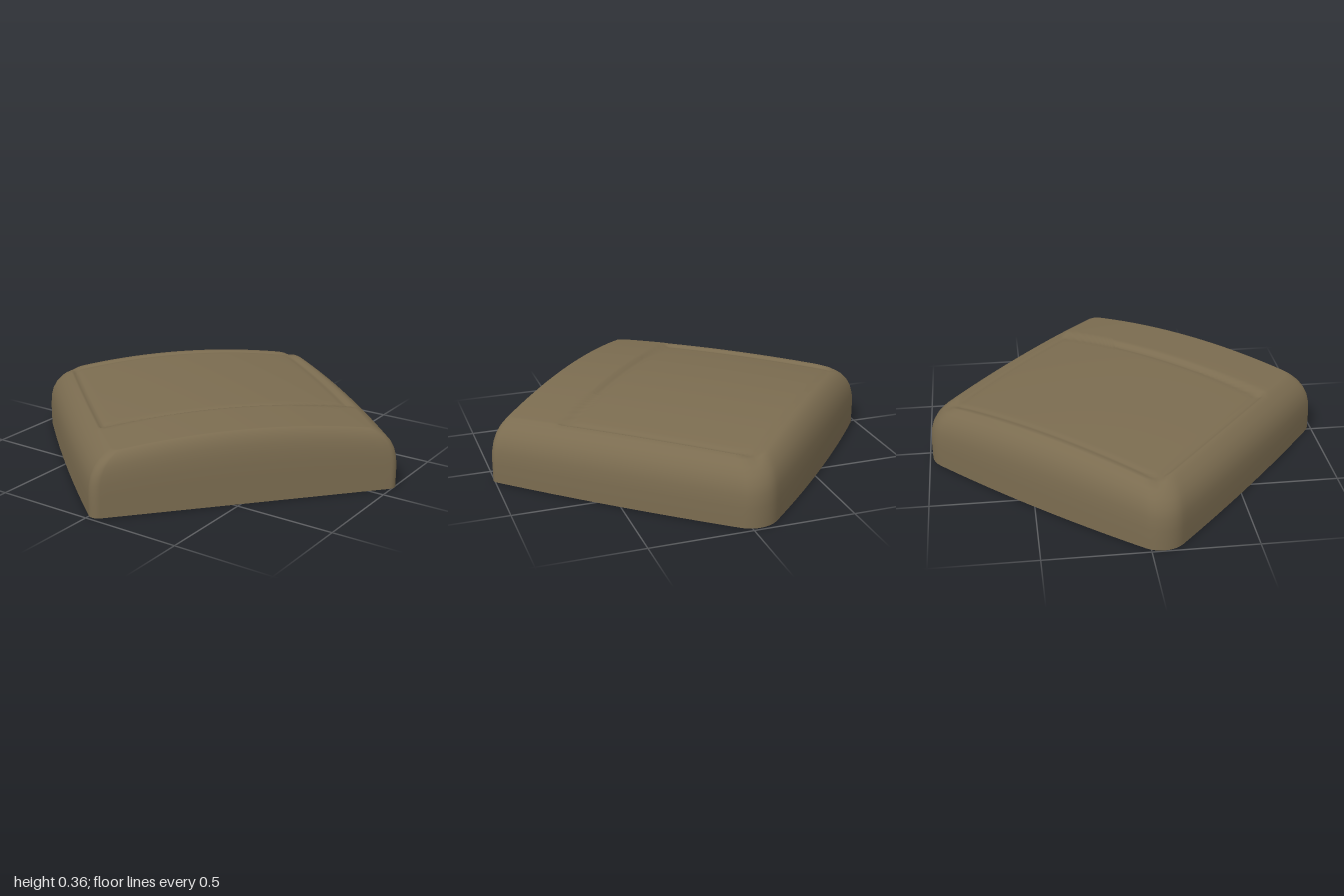
import * as THREE from 'three';

// Plan corners [x, z] of the slab, addressed by a (left-front to back-right) and b (rear-left to front-right)
const L = [-1.04, 0.07], F = [0.03, 1.0], B = [-0.045, -1.03], R = [1.02, -0.11];

function plan(a, b) {
  const a2 = a * (1 + 0.025 * (1 - b * b));
  const b2 = b < 0 ? b * (1 + 0.045 * (1 - a * a)) : b;
  const s = (a2 + 1) / 2, t = (b2 + 1) / 2;
  return [0, 1].map(i =>
    (1 - s) * ((1 - t) * L[i] + t * F[i]) + s * ((1 - t) * B[i] + t * R[i]));
}

const step = (x, lo, hi) => THREE.MathUtils.smoothstep(x, lo, hi);

// Arched crown with a sunken panel
function crown(a, b) {
  const inside = Math.min(0.84 - Math.abs(a), b + 0.86, 0.52 - b);
  const groove = 0.006 * Math.exp(-(((inside - 0.03) / 0.025) ** 2));
  return 0.367 - 0.07 * a * a - 0.017 * b * b - 0.014 * step(inside, -0.02, 0.035) - groove;
}

// Rounded square outline in (a, b)
function outline() {
  const pts = [];
  const corners = [[1, 1, 0.05], [-1, 1, 0.06], [-1, -1, 0.16], [1, -1, 0.16]];
  const arcs = corners.map(([ca, cb, r], k) =>
    Array.from({ length: 9 }, (_, i) => {
      const angle = (k + i / 8) * Math.PI / 2;
      return [ca * (1 - r) + r * Math.cos(angle), cb * (1 - r) + r * Math.sin(angle)];
    }));
  arcs.forEach((arc, k) => {
    pts.push(...arc);
    const p = arc[8], q = arcs[(k + 1) % 4][0];
    for (let i = 1; i < 40; i++) {
      pts.push([p[0] + (q[0] - p[0]) * i / 40, p[1] + (q[1] - p[1]) * i / 40]);
    }
  });
  return pts;
}

// Thin shell: rings run up the wall, over the shoulder and in to the middle
function shellGeometry() {
  const rings = [[0, 0], [0, 0.15], [0, 0.35], [0.005, 0.55], [0.02, 0.7],
    [0.045, 0.82], [0.08, 0.91], [0.12, 0.97]];
  for (let i = 0; i <= 50; i++) rings.push([0.15 + 0.85 * i / 50, 1]);
  const edge = outline(), n = edge.length;
  const positions = [], index = [];
  rings.forEach(([d, g], j) => {
    edge.forEach(([pa, pb], i) => {
      const k = pb > 0 ? 0.35 + 0.65 * d : 1; // crisper shoulder on the cut end
      const a = pa * (1 - d), b = pb * (1 - d * k);
      const [x, z] = plan(a, b);
      positions.push(x, g * crown(a, b), z);
      if (j === rings.length - 1) return;
      const o = j * n + i, o2 = j * n + (i + 1) % n;
      index.push(o, o + n, o2, o2, o + n, o2 + n);
    });
  });
  const geometry = new THREE.BufferGeometry();
  geometry.setAttribute('position', new THREE.Float32BufferAttribute(positions, 3));
  geometry.setIndex(index);
  geometry.computeVertexNormals();
  return geometry;
}

// Flat lip under a corner, from (a, b) points
function lipGeometry(points) {
  const shape = new THREE.Shape(points.map(([a, b]) => new THREE.Vector2(...plan(a, b))));
  return new THREE.ShapeGeometry(shape).rotateX(Math.PI / 2).translate(0, 0.006, 0);
}

export function createModel() {
  const model = new THREE.Group();
  model.name = 'hollowSlab';
  const clay = new THREE.MeshStandardMaterial({ color: 0x7b6c50, side: THREE.DoubleSide });
  clay.name = 'olive brown';

  const add = (name, geometry) => {
    const mesh = new THREE.Mesh(geometry, clay);
    mesh.name = name;
    model.add(mesh);
  };
  add('shell', shellGeometry());

  // Ragged remains of the underside at the two cut corners
  add('frontLip', lipGeometry([[-0.985, 0.98], [-0.99, 0.05], [-0.94, 0.3], [-0.86, 0.55],
    [-0.72, 0.72], [-0.66, 0.86], [-0.5, 0.9], [-0.4, 0.985]]));
  add('rightLip', lipGeometry([[0.985, 0.98], [0.99, 0.0], [0.95, 0.35], [0.91, 0.62],
    [0.82, 0.8], [0.6, 0.9], [0.3, 0.985]]));
  return model;
}
